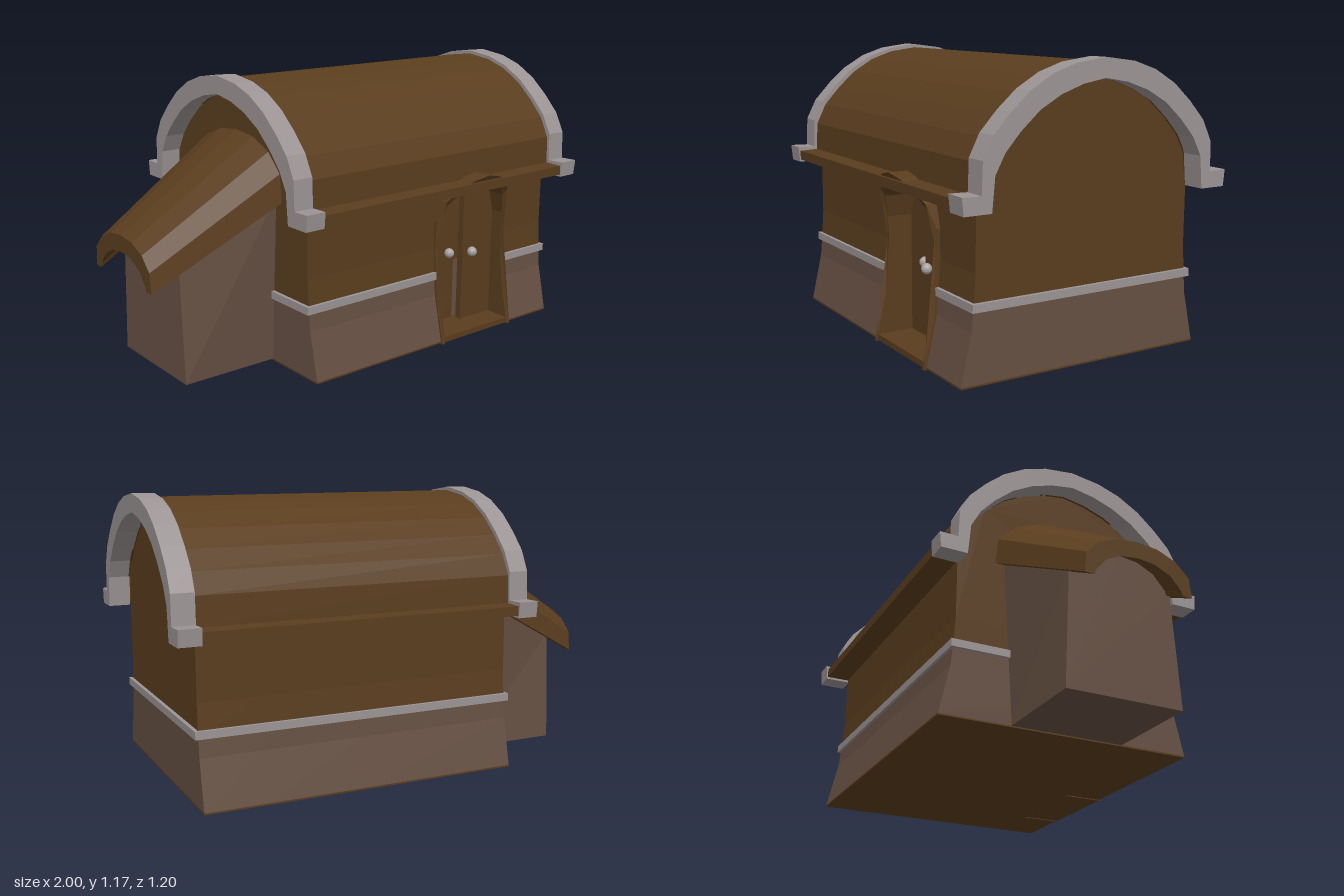
import * as THREE from 'three';

const mat = (color) => new THREE.MeshStandardMaterial({ color, flatShading: true, side: THREE.DoubleSide });
const wood = mat(0x5a3d1e), stone = mat(0x665043), trim = mat(0x9c9494), metal = mat(0xaaa4a4);

const shapeOf = (pts) => new THREE.Shape(pts.map(([a, b]) => new THREE.Vector2(a, b)));

// mirrors a half profile (edge to centre line) to the other side
const mirror = (half) => [...half, ...half.filter(([a]) => a !== 0).reverse().map(([a, b]) => [-a, b])];

// linear interpolation through [key, value] pairs
function along(table, k) {
  for (let i = 1; i < table.length; i++) {
    const [k0, v0] = table[i - 1], [k1, v1] = table[i];
    if (k <= k1) return v0 + (v1 - v0) * Math.max(0, (k - k0) / (k1 - k0));
  }
  return table[table.length - 1][1];
}

export function createModel() {
  const group = new THREE.Group();

  function add(name, geometry, material) {
    const mesh = new THREE.Mesh(geometry, material);
    mesh.name = name;
    group.add(mesh);
    return mesh;
  }
  function box(name, material, x0, x1, y0, y1, z0, z1) {
    const m = add(name, new THREE.BoxGeometry(x1 - x0, y1 - y0, z1 - z0), material);
    m.position.set((x0 + x1) / 2, (y0 + y1) / 2, (z0 + z1) / 2);
  }
  // extrudes a (z, y) cross-section along x
  function extrudeX(name, material, pts, x0, x1) {
    const g = new THREE.ExtrudeGeometry(shapeOf(pts.map(([z, y]) => [-z, y])), { depth: x1 - x0, bevelEnabled: false });
    g.rotateY(Math.PI / 2).translate(x0, 0, 0);
    add(name, g, material);
  }

  // main arch profiles, eave to ridge
  const outer = [[0.522, 0.72], [0.518, 0.84], [0.475, 0.925], [0.405, 1.0], [0.325, 1.07], [0.23, 1.125], [0.13, 1.158], [0, 1.175]];
  const inner = [[0.48, 0.655], [0.468, 0.785], [0.428, 0.86], [0.365, 0.93], [0.285, 1.0], [0.195, 1.05], [0.1, 1.083], [0, 1.1]];
  const shell = (out, inn) => [...mirror(out), ...mirror(inn).reverse()];

  // body: two full-depth bays either side of a recessed door bay
  const left = -0.455, right = 0.9, doorL = 0.225, doorR = 0.645, recess = 0.38;
  const base = [[0.547, 0.01], [0.502, 0.21], [0.494, 0.3]];
  const wall = [[0.494, 0.3], [0.486, 0.42], [0.486, 0.7], ...inner.slice(1).map(([z, y]) => [z * 1.01, y + 0.01])];
  for (const [x0, x1] of [[left, doorL], [doorR, right]]) {
    extrudeX('stoneBase', stone, mirror(base), x0, x1);
    extrudeX('upperWall', wood, mirror(wall), x0, x1);
    box('wallBand', trim, x0 === left ? -0.47 : x0, x1 === right ? 0.915 : x1, 0.284, 0.316, -0.507, 0.507);
  }
  const back = (pts) => pts.map(([z, y]) => [-z, y]);
  extrudeX('stoneBase', stone, [[recess, 0.01], ...back(base), [recess, 0.3]], doorL, doorR);
  extrudeX('upperWall', wood, [[recess, 0.3], ...back(wall), [recess, 0.9]], doorL, doorR);
  box('wallBand', trim, doorL, doorR, 0.284, 0.316, -0.507, 0.37);
  box('floor', wood, left, right, 0.004, 0.011, -0.547, 0.547);
  box('doorStep', wood, doorL, doorR, 0.003, 0.028, recess, 0.55);

  // barrel roof with flat eaves
  const roofOuter = [[0.59, 0.665], [0.59, 0.705], [0.51, 0.708], ...outer.slice(1).map(([z, y]) => [z * 0.975, y - 0.015])];
  extrudeX('roof', wood, shell(roofOuter, [[0.48, 0.665], ...inner.slice(1)]), left - 0.01, 0.91);

  // gable arches with foot blocks
  const archOuter = [[0.593, 0.655], [0.6, 0.722], ...outer];
  for (const [x0, x1] of [[-0.543, -0.455], [0.905, 0.997]])
    extrudeX('gableArch', trim, shell(archOuter, inner), x0, x1);

  // door: arched outline, with stops where the wall changes slope
  const doorX = 0.435;
  const doorHalf = (w, h, y0) => [[w, y0], [w, 0.2], [w, 0.42], [w, h - 0.19], [w * 0.88, h - 0.1],
    [w * 0.66, h - 0.045], [w * 0.34, h - 0.015], [0, h]];
  const frameOuter = doorHalf(0.212, 0.73, 0), frameInner = doorHalf(0.195, 0.705, 0);

  // frame lies against the flared wall and leans out to the eave
  const frontZ = [[0, 0.557], [0.2, 0.512], [0.42, 0.494], [0.58, 0.503], [0.66, 0.55], [0.73, 0.593]];
  const frame = new THREE.ExtrudeGeometry(shapeOf(shell(frameOuter, frameInner)), { depth: 1, bevelEnabled: false });
  const fp = frame.attributes.position;
  for (let i = 0; i < fp.count; i++) fp.setZ(i, fp.getZ(i) > 0.5 ? along(frontZ, fp.getY(i)) : recess);
  frame.computeVertexNormals();
  add('doorFrame', frame, wood).position.x = doorX;

  for (const side of [-1, 1]) {
    // wall filling the corner beside the arch
    const corner = frameOuter.slice(3).map(([x, y]) => [x * side, y]);
    const fill = new THREE.ExtrudeGeometry(shapeOf([...corner, [0.21 * side, 0.73]]), { depth: 0.106, bevelEnabled: false });
    add('doorCorner', fill, wood).position.set(doorX, 0, recess);

    // leaf and knob, the left leaf standing a little forward
    const z = side > 0 ? 0.44 : 0.395;
    const pts = doorHalf(0.194, 0.703, 0.03).map(([x, y]) => [x * side, y]);
    const leaf = new THREE.ExtrudeGeometry(shapeOf([[0.006 * side, 0.03], ...pts.slice(0, -1), [0.006 * side, 0.703]]),
      { depth: 0.03, bevelEnabled: false });
    add('doorLeaf', leaf, wood).position.set(doorX + 0.006, 0, z - 0.03);
    const knob = add('doorKnob', new THREE.SphereGeometry(0.022, 12, 8), metal);
    knob.position.set(doorX + 0.006 + 0.049 * side, 0.347, z + 0.018);
  }

  // lean-to: cross-sections shrink and drop away from the house
  const edgeY = [[-1, 0.41], [-0.45, 0.7]], rise = [[-1, 0.18], [-0.45, 0.25]], halfZ = [[-1, 0.23], [-0.45, 0.32]];
  function taper(name, material, pts, x0, x1, grounded) {
    const g = new THREE.ExtrudeGeometry(shapeOf(pts), { depth: 1, bevelEnabled: false });
    g.rotateY(Math.PI / 2);
    const p = g.attributes.position;
    for (let i = 0; i < p.count; i++) {
      const x = x0 + (x1 - x0) * p.getX(i), v = p.getY(i);
      const onGround = grounded && v < -0.5;
      const y = onGround ? 0.01 : along(edgeY, x) + along(rise, x) * v;
      const z = p.getZ(i) * (onGround ? 0.245 : along(halfZ, x));
      p.setXYZ(i, x, y, z);
    }
    g.computeVertexNormals();
    add(name, g, material);
  }
  const leanOuter = [[1, 0], [0.96, 0.46], [0.72, 0.77], [0.38, 0.95], [0, 1]];
  const leanInner = [[0.82, 0], [0.8, 0.1], [0.6, 0.4], [0.32, 0.57], [0, 0.62]];
  taper('leanToRoof', wood, shell(leanOuter, leanInner), -1, -0.45, false);
  const leanWall = [[1, -1], [0.88, 0.1], [0.64, 0.45], [0.34, 0.62], [0, 0.67]];
  taper('leanToWall', stone, mirror(leanWall), -0.873, -0.45, true);

  return group;
}
